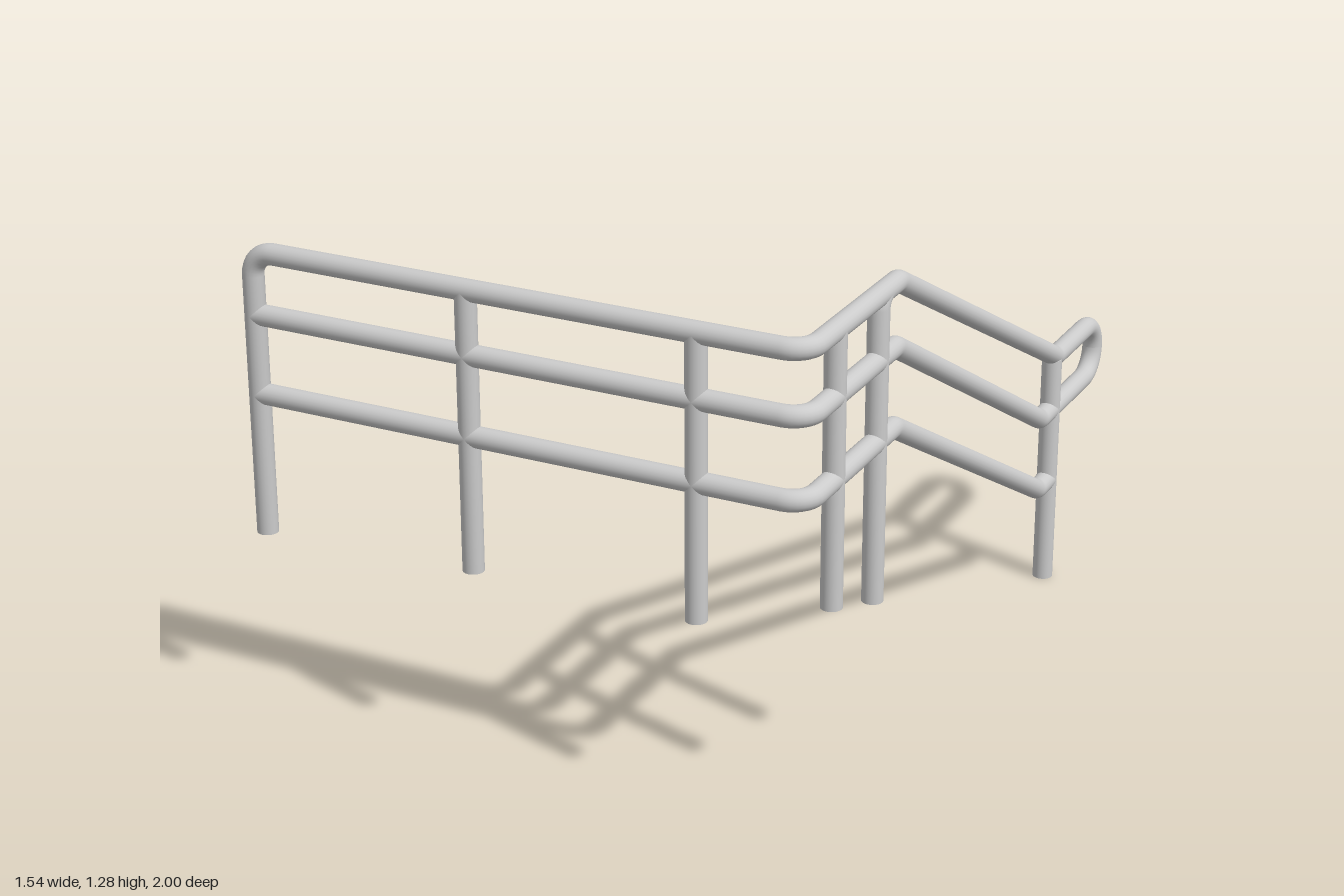
import * as THREE from 'three';
import { mergeGeometries } from 'three/addons/utils/BufferGeometryUtils.js';

const R = 0.0275, SIDES = 20;
const X = 0.745, Z = 0.97;              // pipe centre lines of the side and front runs
const TOP = 1.253, MID = 1.088, LOW = 0.878;
const material = new THREE.MeshStandardMaterial({ color: 0xcccccc, roughness: 0.6 });
const V = (x, y, z) => new THREE.Vector3(x, y, z);

// Curve that visits every listed point, so bends stay crisp and straights stay straight
class PointPath extends THREE.Curve {
  constructor(points) { super(); this.points = points; }
  getPoint(t, target = new THREE.Vector3()) {
    const n = this.points.length - 1, s = t * n;
    const i = Math.min(n - 1, Math.floor(s + 1e-6));
    return target.lerpVectors(this.points[i], this.points[i + 1], s - i);
  }
  getPointAt(t, target) { return this.getPoint(t, target); }
  getTangentAt(t, target = new THREE.Vector3()) {
    const p = this.points, i = Math.round(t * (p.length - 1));
    target.set(0, 0, 0);
    if (i > 0) target.add(p[i].clone().sub(p[i - 1]).normalize());
    if (i < p.length - 1) target.add(p[i + 1].clone().sub(p[i]).normalize());
    return target.normalize();
  }
}

// Replace each corner by a circular arc; each entry is [point, bend radius]
function roundCorners(corners) {
  const out = [corners[0][0]];
  for (let i = 1; i < corners.length - 1; i++) {
    const [p, r] = corners[i];
    const a = corners[i - 1][0].clone().sub(p).normalize();
    const b = corners[i + 1][0].clone().sub(p).normalize();
    const half = a.angleTo(b) / 2, sweep = Math.PI - 2 * half;
    const centre = a.clone().add(b).normalize().multiplyScalar(r / Math.sin(half)).add(p);
    const u = p.clone().addScaledVector(a, r / Math.tan(half)).sub(centre);
    const axis = u.clone().cross(p.clone().addScaledVector(b, r / Math.tan(half)).sub(centre)).normalize();
    const steps = Math.max(3, Math.ceil(sweep / 0.2));
    for (let k = 0; k <= steps; k++)
      out.push(u.clone().applyAxisAngle(axis, sweep * k / steps).add(centre));
  }
  out.push(corners[corners.length - 1][0]);
  return out.filter((p, i) => i === 0 || p.distanceTo(out[i - 1]) > 1e-5);
}

// Round pipe along a cornered path, closed at both ends
function pipe(name, corners) {
  const pts = roundCorners(corners), n = pts.length - 1;
  const path = new PointPath(pts);
  const cap = (t, sign) => {
    const dir = path.getTangentAt(t).multiplyScalar(sign);
    const g = new THREE.CircleGeometry(R, SIDES);
    g.applyQuaternion(new THREE.Quaternion().setFromUnitVectors(V(0, 0, 1), dir));
    const p = path.getPointAt(t);
    return g.translate(p.x, p.y, p.z);
  };
  const mesh = new THREE.Mesh(
    mergeGeometries([new THREE.TubeGeometry(path, n, R, SIDES, false), cap(0, -1), cap(1, 1)]), material);
  mesh.name = name;
  return mesh;
}

export function createModel() {
  const group = new THREE.Group();
  group.name = 'handrail';

  // End post bending into the level top rail
  group.add(pipe('topRail', [
    [V(-X, 0.5, Z)], [V(-X, TOP, Z), 0.06], [V(X, TOP, Z), 0.06], [V(X, TOP, 0.5)]]));

  // Stair post bending into the sloped top rail, around the end loop and back along the middle rail
  const loopZ = -0.972, loopY = 0.507, endY = 0.657;
  group.add(pipe('slopedRailWithLoop', [
    [V(X, 0.455, 0.565)], [V(X, TOP, 0.565), 0.035], [V(X, TOP, 0.455), 0.05],
    [V(X, endY, -0.665), 0.05], [V(X, endY, loopZ), 0.0749], [V(X, loopY, loopZ), 0.0749],
    [V(X, loopY, -0.565), 0.05], [V(X, MID, 0.465), 0.05], [V(X, MID, Z), 0.06], [V(-X, MID, Z)]]));

  // Lower rail
  group.add(pipe('lowerRail', [
    [V(-X, LOW, Z)], [V(X, LOW, Z), 0.06], [V(X, LOW, 0.465), 0.05],
    [V(X, 0.297, -0.565), 0.05], [V(X, 0.297, -0.645)]]));

  // Straight posts: x, z, bottom, top
  const posts = [
    [-0.143, Z, 0.52, TOP], [0.467, Z, 0.52, TOP],
    [X, 0.81, 0.545, TOP], [X, -0.645, 0, endY]];
  posts.forEach(([x, z, y0, y1], i) =>
    group.add(pipe('post' + (i + 1), [[V(x, y0, z)], [V(x, y1, z)]])));

  return group;
}
